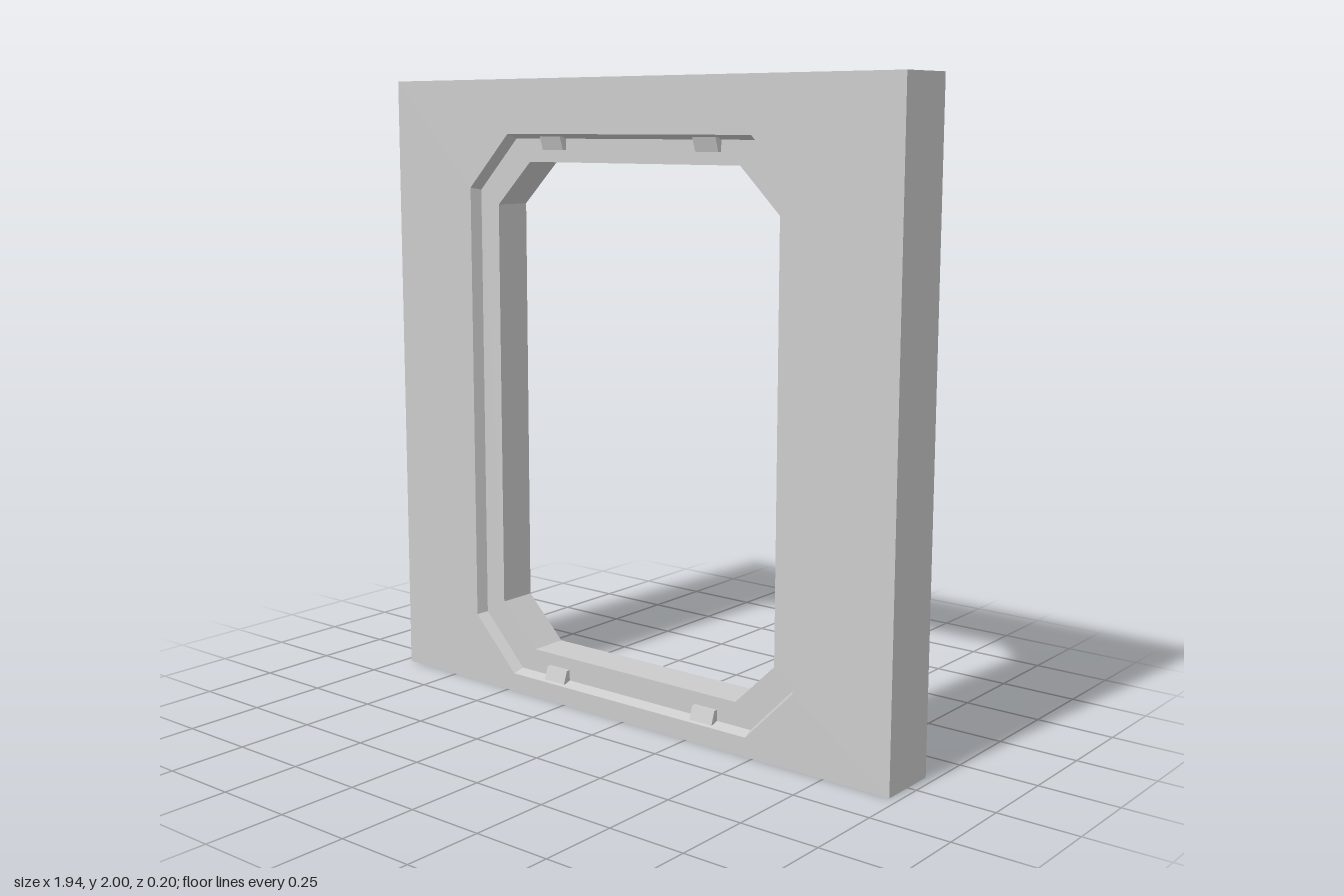
import * as THREE from 'three';

// Eight corners, counter-clockwise from the front; cut = 0 gives a plain rectangle
function ring(halfW, bottom, top, cutX, cutY, z) {
  const x = halfW - cutX;
  return [
    [halfW, bottom + cutY], [halfW, top - cutY], [x, top], [-x, top],
    [-halfW, top - cutY], [-halfW, bottom + cutY], [-x, bottom], [x, bottom],
  ].map(([px, py]) => new THREE.Vector3(px, py, z));
}

// Joins consecutive rings, and the last to the first, skipping empty triangles
function stitchRings(rings) {
  const points = [];
  const tri = new THREE.Triangle();
  const add = (a, b, c) => {
    if (tri.set(a, b, c).getArea() > 1e-7) points.push(a, b, c);
  };
  rings.forEach((r, k) => {
    const next = rings[(k + 1) % rings.length];
    for (let i = 0; i < 8; i++) {
      const j = (i + 1) % 8;
      add(r[i], r[j], next[j]);
      add(r[i], next[j], next[i]);
    }
  });
  const geometry = new THREE.BufferGeometry().setFromPoints(points);
  geometry.computeVertexNormals();
  return geometry;
}

export function createModel() {
  const model = new THREE.Group();
  const material = new THREE.MeshStandardMaterial({ color: 0xcccccc, flatShading: true });
  const face = 0.1, floor = 0.064;

  // Wall slab with a bevelled recess on both faces around a chamfered opening
  const outline = z => ring(0.972, 0, 2, 0, 0, z);
  const recessRim = z => ring(0.641, 0.06, 1.83, 0.168, 0.172, z);
  const recessFloor = z => ring(0.628, 0.072, 1.816, 0.161, 0.165, z);
  const opening = z => ring(0.55, 0.147, 1.743, 0.14, 0.138, z);
  const wall = new THREE.Mesh(stitchRings([
    outline(-face), outline(face), recessRim(face), recessFloor(floor),
    opening(floor), opening(-floor), recessFloor(-floor), recessRim(-face),
  ]), material);
  wall.name = 'wallPanel';
  model.add(wall);

  // Sloped clips at the top and bottom of each recess; profile is (z, height)
  const profile = new THREE.Shape([
    [floor - 0.005, 0], [0.092, 0], [0.078, 0.042], [floor - 0.005, 0.042],
  ].map(([z, y]) => new THREE.Vector2(z, y)));
  const clipGeometry = new THREE.ExtrudeGeometry(profile, { depth: 0.084, bevelEnabled: false });
  clipGeometry.translate(0, 0, -0.042).rotateY(-Math.PI / 2);
  for (const side of [-1, 1]) {
    for (const end of [-1, 1]) {
      for (const x of [-0.3, 0.3]) {
        const clip = new THREE.Mesh(clipGeometry, material);
        clip.name = `${side > 0 ? 'front' : 'back'}${end > 0 ? 'Top' : 'Bottom'}Clip`;
        // Turn about z for the top, about y for the back
        clip.rotation.set(0, side > 0 ? 0 : Math.PI, end > 0 ? Math.PI : 0);
        clip.position.set(x, end > 0 ? 1.823 : 0.065, 0);
        model.add(clip);
      }
    }
  }
  return model;
}
